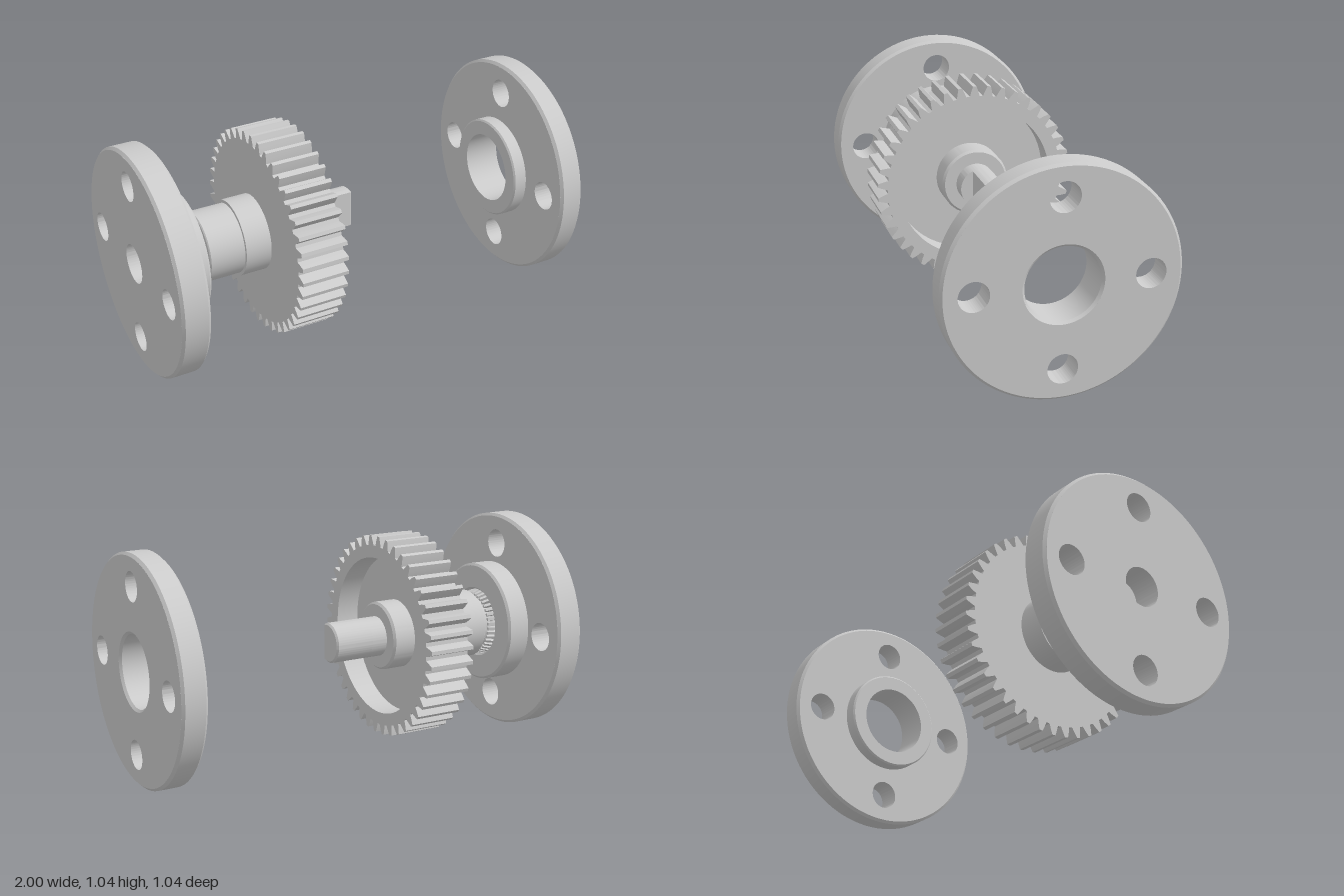
import * as THREE from 'three';
import { toCreasedNormals } from 'three/addons/utils/BufferGeometryUtils.js';

const material = new THREE.MeshStandardMaterial({ color: 0xcccccc });

function addMesh(parent, name, geometry, crease = 0.4) {
  const mesh = new THREE.Mesh(toCreasedNormals(geometry, crease), material);
  mesh.name = name;
  parent.add(mesh);
}

// Turned part along x; profile points are [x, radius]
function turned(points) {
  const geometry = new THREE.LatheGeometry(points.map(([x, r]) => new THREE.Vector2(r, x)), 96);
  return geometry.rotateZ(-Math.PI / 2);
}

// Extrusion along x between two positions (shape y stays up, shape x becomes -z)
function extruded(shape, x0, x1, options = {}) {
  const geometry = new THREE.ExtrudeGeometry(shape, {
    depth: x1 - x0, bevelEnabled: false, curveSegments: 48, ...options,
  });
  return geometry.rotateY(Math.PI / 2).translate(x0, 0, 0);
}

function circlePath(x, y, r) {
  return new THREE.Path().absarc(x, y, r, 0, Math.PI * 2, true);
}

// Toothed outline, one tooth pointing straight up
function toothedShape(teeth, root, tip, profile) {
  const points = [];
  const pitch = (Math.PI * 2) / teeth;
  for (let i = 0; i < teeth; i++) {
    for (const [offset, height] of profile) {
      const a = Math.PI / 2 + (i + offset) * pitch;
      const r = root + (tip - root) * height;
      points.push(new THREE.Vector2(Math.cos(a) * r, Math.sin(a) * r));
    }
  }
  return new THREE.Shape(points);
}

// Flange disc with chamfered rim, four bolt holes and a centre bore
function flange(name, x0, x1, bore) {
  const group = new THREE.Group();
  group.name = name;
  const R = 0.512, c = 0.012;
  const shape = new THREE.Shape().absarc(0, 0, R - c, 0, Math.PI * 2, false);
  shape.holes.push(circlePath(0, 0, bore));
  for (let i = 0; i < 4; i++) {
    const a = (i * Math.PI) / 2;
    shape.holes.push(circlePath(Math.cos(a) * 0.373, Math.sin(a) * 0.373, 0.066));
  }
  addMesh(group, 'flangePlate', extruded(shape, x0, x1, { curveSegments: 96 }));
  addMesh(group, 'flangeRim', turned([[x0, R - c], [x0 + c, R], [x1 - c, R], [x1, R - c]]));
  return group;
}

export function createModel() {
  const model = new THREE.Group();
  model.name = 'gearShaftWithFlanges';
  const assembly = new THREE.Group();
  assembly.name = 'assembly';
  model.add(assembly);

  // Flange at the splined end, with its raised hub
  const inner = flange('rightFlange', -0.995, -0.866, 0.088);
  addMesh(inner, 'flangeHub', turned([
    [-0.866, 0.28], [-0.768, 0.28], [-0.758, 0.27], [-0.758, 0.166], [-0.768, 0.157], [-0.866, 0.157],
  ]));
  assembly.add(inner);

  // Loose flange at the far end, hub facing the gear and a chamfered bore
  const bore = 0.163;
  const outer = flange('leftFlange', 0.88, 0.995, 0.174);
  addMesh(outer, 'flangeHub', turned([
    [0.88, 0.174], [0.815, bore], [0.815, 0.228], [0.822, 0.235], [0.88, 0.235],
  ].slice(1)));
  addMesh(outer, 'boreLiner', turned([[0.995, 0.174], [0.984, bore], [0.815, bore]]));
  assembly.add(outer);

  // Stepped shaft, gear web and boss
  addMesh(assembly, 'steppedShaft', turned([
    [-0.866, 0], [-0.866, 0.134], [-0.71, 0.134], [-0.71, 0.154], [-0.705, 0.159],
    [-0.545, 0.159], [-0.545, 0.173], [-0.425, 0.173], [-0.425, 0.365],
    [-0.315, 0.365], [-0.315, 0.158], [-0.215, 0.158], [-0.205, 0.148],
    [-0.205, 0.092], [-0.13, 0.092], [-0.13, 0],
  ]));

  // Tapered splines inside the hub mouth
  const splines = extruded(
    toothedShape(40, 0.138, 0.155, [[-0.25, 1], [0.25, 1], [0.35, 0], [0.65, 0]]), -0.8, -0.735, { steps: 2 });
  const p = splines.attributes.position;
  for (let i = 0; i < p.count; i++) {
    const k = p.getX(i) > -0.74 ? 0.93 : 1;
    p.setXYZ(i, p.getX(i), p.getY(i) * k, p.getZ(i) * k);
  }
  addMesh(assembly, 'splines', splines, 0.2);

  // Spur gear ring, recessed on the front side
  const gear = toothedShape(42, 0.422, 0.468, [
    [-0.36, 0], [-0.26, 0.45], [-0.12, 1], [0.12, 1], [0.26, 0.45], [0.36, 0],
  ]);
  gear.holes.push(circlePath(0, 0, 0.365));
  addMesh(assembly, 'gearRing', extruded(gear, -0.425, -0.205), 0.35);

  // Shaft end with one flat side facing the front
  const r = 0.092, a = Math.acos(-0.035 / r);
  const dShape = new THREE.Shape().absarc(0, 0, r, -a, a, false);
  dShape.closePath();
  addMesh(assembly, 'flattedShaftEnd', extruded(dShape, -0.13, 0.047, {
    bevelEnabled: true, bevelSize: 0.008, bevelOffset: -0.008, bevelThickness: 0.008, bevelSegments: 1,
  }));

  // The axis leans very slightly
  assembly.rotation.set(0, 0.006, 0.0097);
  assembly.position.y = 0.522;
  return model;
}
